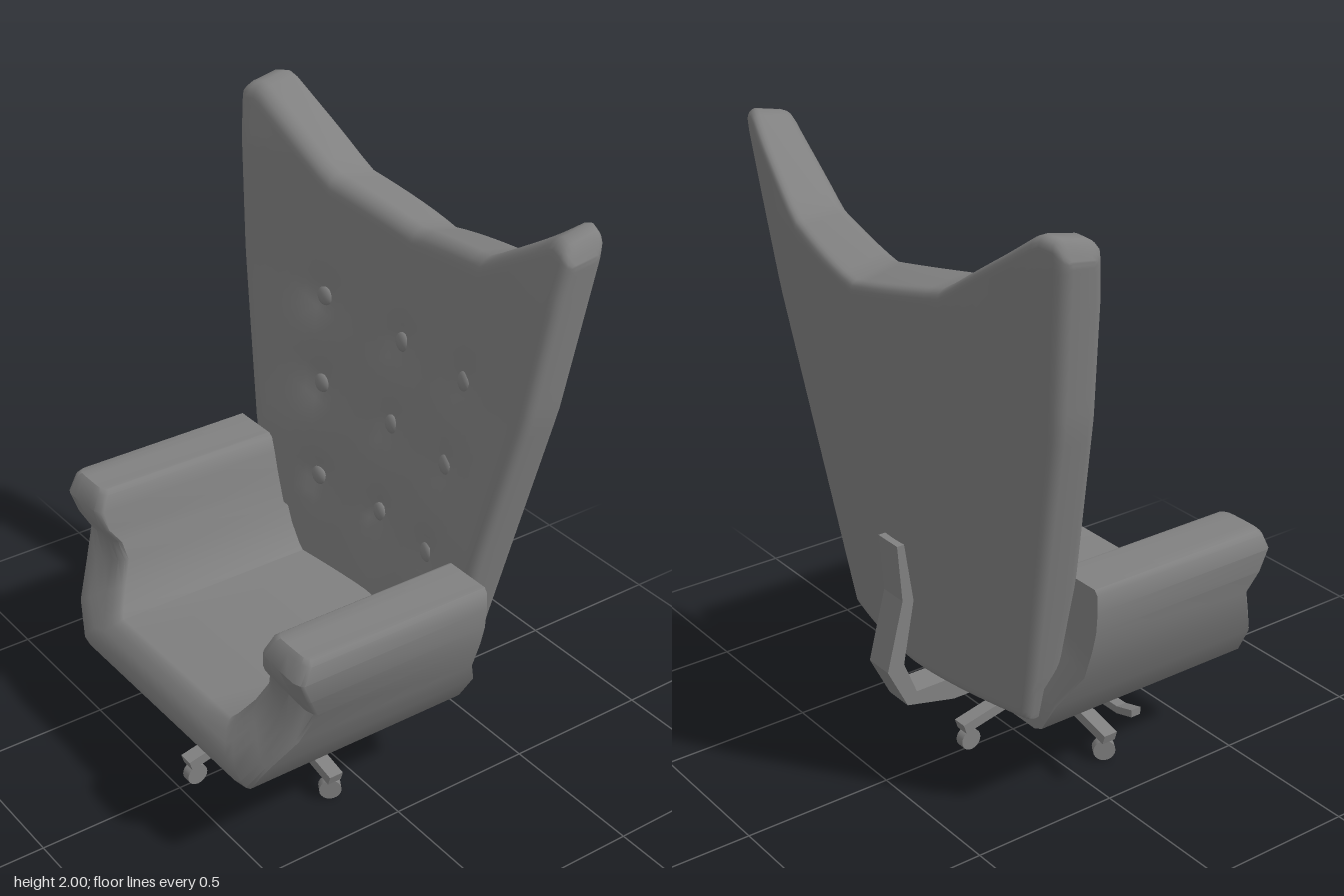
import * as THREE from 'three';
import { mergeVertices, toCreasedNormals } from 'three/addons/utils/BufferGeometryUtils.js';

const grey = new THREE.MeshStandardMaterial({ color: 0x808080 });
grey.name = 'grey';

function add(parent, name, geometry, x = 0, y = 0, z = 0) {
  const mesh = new THREE.Mesh(geometry, grey);
  mesh.name = name;
  mesh.position.set(x, y, z);
  parent.add(mesh);
  return mesh;
}

// Straight-line interpolation through [input, output] pairs
function lerpTable(table, t) {
  if (t <= table[0][0]) return table[0][1];
  for (let i = 1; i < table.length; i++) {
    const [a, va] = table[i - 1], [b, vb] = table[i];
    if (t <= b) return va + (vb - va) * (t - a) / (b - a);
  }
  return table[table.length - 1][1];
}

function meshFrom(points, quads, crease) {
  const g = new THREE.BufferGeometry();
  g.setAttribute('position', new THREE.Float32BufferAttribute(points.flat(), 3));
  g.setIndex(quads.flatMap(([a, b, c, d]) => [a, b, c, a, c, d]));
  return toCreasedNormals(mergeVertices(g, 1e-4), crease);
}

// Backrest outline and depth rules
const BOTTOM = 0.37;
const halfWidth = [[0.37, 0.46], [0.86, 0.575], [1.43, 0.71], [1.92, 0.785]];
const frontTop = [[0, 1.72], [0.49, 1.78], [0.9, 1.985], [0.97, 1.975], [1, 1.92]];
const backTop = [[0, 1.69], [0.49, 1.765], [0.9, 2], [0.97, 1.99], [1, 1.93]];
const frontMid = [[0.37, -0.22], [1.72, -0.39], [2, -0.42]];
const frontEdge = [[0.86, -0.18], [1.43, -0.235], [1.8, -0.265], [2, -0.295]];
const backMid = [[0.37, -0.377], [1.7, -0.575], [2, -0.6]];
const backEdge = [[0.37, -0.3], [2, -0.435]];

const buttons = [];
for (const [y, drop, x] of [[1.38, 0.03, 0.35], [1.09, 0.02, 0.318], [0.77, 0.01, 0.285]])
  buttons.push([-x, y], [0, y - drop], [x, y]);

function frontZ(x, y) {
  const u = Math.min(1, Math.abs(x) / lerpTable(halfWidth, y));
  const mid = lerpTable(frontMid, y);
  let z = mid + (lerpTable(frontEdge, y) - mid) * u ** 1.35;
  for (const [bx, by] of buttons) z -= 0.03 * Math.exp(-Math.hypot(x - bx, y - by) / 0.06);
  return z;
}

function backZ(x, y) {
  const u = Math.min(1, Math.abs(x) / lerpTable(halfWidth, y));
  const mid = lerpTable(backMid, y);
  return mid + (lerpTable(backEdge, y) - mid) * u ** 1.6;
}

function backrestGeometry() {
  const N = 44, M = 44, points = [], quads = [];
  const ease = t => 0.5 - 0.5 * Math.cos(Math.PI * t);
  const roundOff = (d, r) => {
    const e = 1 - Math.min(1, Math.max(0, d) / r);
    return r * (1 - Math.sqrt(1 - e * e));
  };
  const point = (i, j, front) => {
    const u = 2 * ease(i / N) - 1;
    const top = lerpTable(front ? frontTop : backTop, Math.abs(u));
    const y = BOTTOM + (top - BOTTOM) * ease(j / M);
    const w = lerpTable(halfWidth, y), x = u * w;
    const d = Math.min(w - Math.abs(x), y - BOTTOM, top - y);
    return [x, y, front ? frontZ(x, y) - roundOff(d, 0.045) : backZ(x, y) + roundOff(d, 0.03)];
  };
  // Closed rings: across the front, then back along the rear
  const R = 2 * (N + 1);
  for (let j = 0; j <= M; j++) {
    for (let i = 0; i <= N; i++) points.push(point(i, j, true));
    for (let i = N; i >= 0; i--) points.push(point(i, j, false));
  }
  for (let j = 0; j < M; j++)
    for (let k = 0; k < R; k++) {
      const n = (k + 1) % R;
      quads.push([j * R + k, j * R + n, j * R + R + n, j * R + R + k]);
    }
  for (let i = 0; i < N; i++) {
    const t = M * R;
    quads.push([t + i, t + i + 1, t + R - 2 - i, t + R - 1 - i]);
    quads.push([R - 1 - i, R - 2 - i, i + 1, i]);
  }
  return meshFrom(points, quads, 0.9);
}

// Seat shell: paired outer and inner section points, nose depth by height
const section = [
  [0, 0.32, 0, 0.48], [0.22, 0.32, 0.2, 0.48], [0.44, 0.32, 0.31, 0.48], [0.475, 0.335, 0.33, 0.5],
  [0.54, 0.44, 0.37, 0.56], [0.6, 0.55, 0.4, 0.63], [0.633, 0.65, 0.42, 0.69],
  [0.65, 0.72, 0.435, 0.74], [0.655, 0.79, 0.45, 0.8], [0.652, 0.845, 0.465, 0.848], [0.64, 0.86, 0.48, 0.86],
];
const nose = [[0.32, 0.555], [0.34, 0.565], [0.4, 0.565], [0.6, 0.445], [0.65, 0.43],
  [0.7, 0.45], [0.74, 0.482], [0.79, 0.492], [0.83, 0.48], [0.86, 0.45]];

function seatGeometry() {
  const mirrored = section.slice(1).reverse().map(([a, b, c, d]) => [-a, b, -c, d]);
  const ribs = [...mirrored, ...section];
  const K = 8, R = 2 * (K + 1), points = [], quads = [];
  for (const [ox, oy, ix, iy] of ribs) {
    const zBack = Math.abs(ix) < 0.38 ? -0.25 : -0.19;
    const rib = [];
    for (let k = 0; k <= K; k++) {
      const t = 0.5 - 0.5 * Math.cos(Math.PI * k / K), s = Math.abs(2 * t - 1);
      const x = ox + (ix - ox) * t, y = oy + (iy - oy) * t;
      rib.push([x, y, lerpTable(nose, y) - 0.02 * s ** 8]);
    }
    points.push(...rib, ...rib.map(([x, y]) => [x, y, zBack]).reverse());
  }
  const last = (ribs.length - 1) * R;
  for (let i = 0; i < ribs.length - 1; i++)
    for (let k = 0; k < R; k++) {
      const n = (k + 1) % R;
      quads.push([i * R + k, i * R + R + k, i * R + R + n, i * R + n]);
    }
  // Close the tops of both arms
  for (let k = 0; k < K; k++) {
    quads.push([k, k + 1, R - 2 - k, R - 1 - k]);
    quads.push([last + k + 1, last + k, last + R - 1 - k, last + R - 2 - k]);
  }
  return meshFrom(points, quads, 0.75);
}

function extrude(outline, depth) {
  const shape = new THREE.Shape(outline.map(([x, y]) => new THREE.Vector2(x, y)));
  return new THREE.ExtrudeGeometry(shape, { depth, bevelEnabled: false }).translate(0, 0, -depth / 2);
}

export function createModel() {
  const chair = new THREE.Group();
  chair.name = 'wingChair';
  add(chair, 'backrest', backrestGeometry());
  add(chair, 'seatAndArms', seatGeometry());

  // Tufting buttons
  for (const [x, y] of buttons) {
    const b = add(chair, 'button', new THREE.SphereGeometry(0.033, 16, 10), x, y, frontZ(x, y) + 0.008);
    b.scale.z = 0.5;
    b.rotation.set(-0.1, -x * 0.5, 0);
  }

  // Mechanism, back support and lever
  const CZ = 0.13;
  add(chair, 'mechanismBox', new THREE.BoxGeometry(0.28, 0.08, 0.185), 0, 0.28, CZ);
  const support = extrude([[0.05, 0.24], [0.05, 0.318], [-0.41, 0.318], [-0.455, 0.43], [-0.415, 0.64], [-0.435, 0.84],
    [-0.47, 0.84], [-0.455, 0.65], [-0.515, 0.42], [-0.445, 0.28], [-0.27, 0.24]], 0.1);
  add(chair, 'backSupport', support.rotateY(-Math.PI / 2));
  add(chair, 'lever', extrude([[-0.13, 0.285], [-0.13, 0.31], [-0.48, 0.31], [-0.55, 0.33],
    [-0.55, 0.305], [-0.48, 0.285]], 0.035), 0, 0, 0.055);

  // Column and hub
  const base = new THREE.Group();
  base.name = 'base';
  base.position.z = CZ;
  chair.add(base);
  add(base, 'column', new THREE.CylinderGeometry(0.022, 0.022, 0.1, 16), 0, 0.2, 0);
  add(base, 'hub', new THREE.CylinderGeometry(0.05, 0.05, 0.045, 16), 0, 0.153, 0);
  add(base, 'hubBottom', new THREE.CylinderGeometry(0.036, 0.036, 0.065, 16), 0, 0.1, 0);

  // Four legs with castors
  const legShape = [[0.02, 0.14], [0.335, 0.072], [0.345, 0.105], [0.02, 0.178]];
  for (let i = 0; i < 4; i++) {
    const leg = new THREE.Group();
    leg.name = 'leg';
    leg.rotation.y = i * Math.PI / 2;
    base.add(leg);
    add(leg, 'legBar', extrude(legShape, 0.05));
    add(leg, 'castorStem', new THREE.CylinderGeometry(0.012, 0.012, 0.05, 10), 0.31, 0.065, 0);
    const wheel = add(leg, 'castorWheel', new THREE.CylinderGeometry(0.036, 0.036, 0.032, 20).rotateX(Math.PI / 2), 0.31, 0.036, 0);
    // Wheels on the side legs swivel; those fore and aft roll straight
    wheel.rotation.y = i % 2 ? 0 : Math.PI / 3;
  }
  return chair;
}
